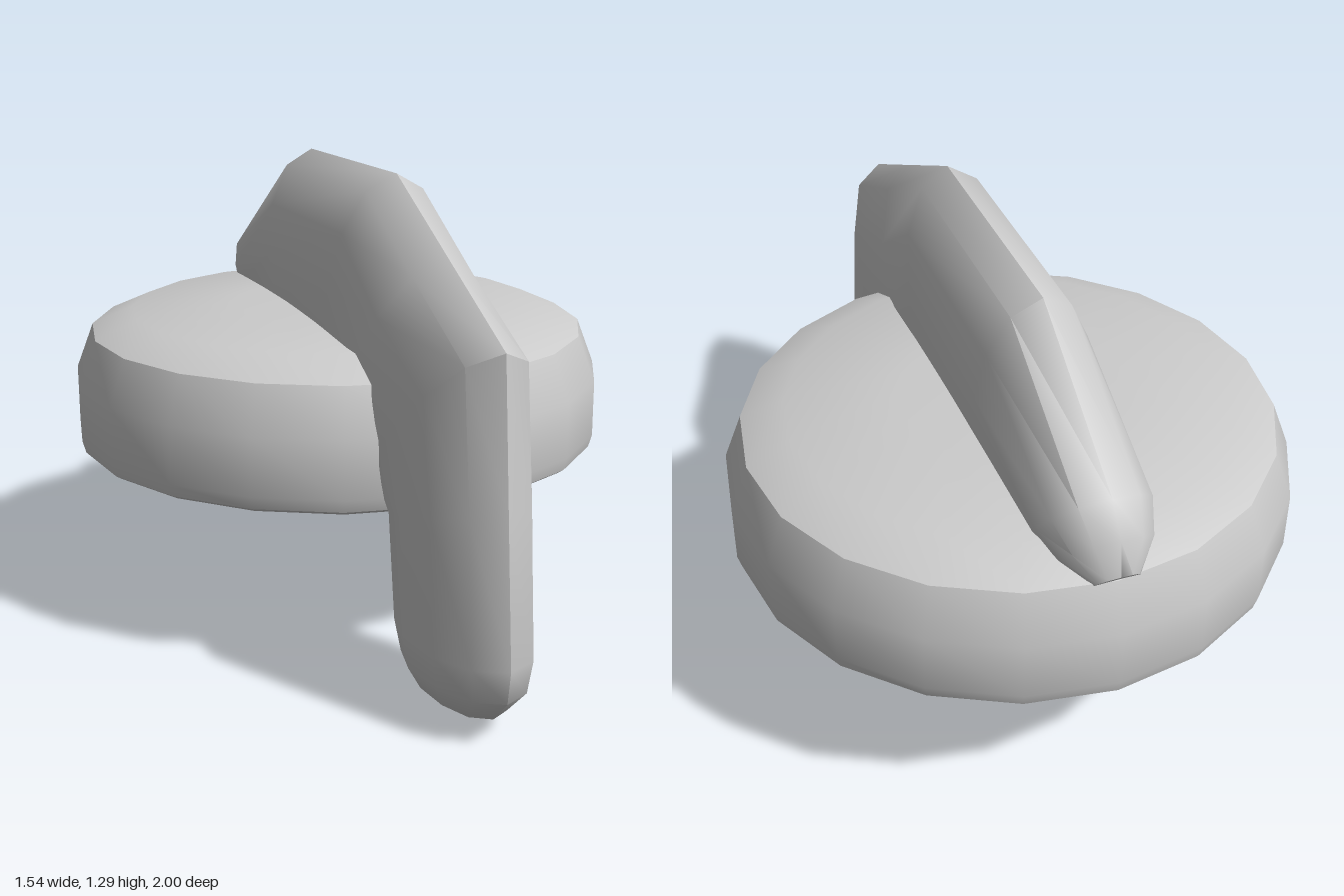
import * as THREE from 'three';
import { toCreasedNormals } from 'three/addons/utils/BufferGeometryUtils.js';

const material = new THREE.MeshStandardMaterial({ color: 0xcccccc, side: THREE.DoubleSide });

function addPart(group, name, geometry, crease) {
  const mesh = new THREE.Mesh(toCreasedNormals(geometry, crease), material);
  mesh.name = name;
  group.add(mesh);
  return mesh;
}

// Closed skin through a row of equally sized loops of points, fanned shut at both ends
function skin(loops) {
  const n = loops[0].length;
  const index = [];
  for (let s = 0; s < loops.length - 1; s++) {
    for (let i = 0; i < n; i++) {
      const j = (i + 1) % n;
      const a = s * n + i, b = s * n + j, c = a + n, d = b + n;
      index.push(a, c, b, b, c, d);
    }
  }
  const last = (loops.length - 1) * n;
  for (let i = 1; i < n - 1; i++) {
    index.push(0, i, i + 1, last, last + i + 1, last + i);
  }
  const geometry = new THREE.BufferGeometry();
  geometry.setAttribute('position', new THREE.Float32BufferAttribute(loops.flat(2), 3));
  geometry.setIndex(index);
  return geometry;
}

// Handle cross-section from the outer ridge to the underside, mirrored in x
function handleLoop([oz, oy, iz, iy, w, flat]) {
  const half = [
    [0, 0], [0.09, 0.52 * w], [0.32, 0.87 * w], [0.62, w],
    [0.87, w * (0.75 + 0.25 * flat)], [1, w * flat],
  ];
  const at = ([f, x], side) => [side * x, oy + (iy - oy) * f, oz + (iz - oz) * f];
  return [
    ...half.map((p) => at(p, 1)),
    ...half.slice(1).reverse().map((p) => at(p, -1)),
  ];
}

export function createModel() {
  const group = new THREE.Group();
  group.name = 'knob';

  // Round cap: stepped hollow underneath, rim, shoulder, slightly domed top
  const profile = [
    [0, 0.815], [0.31, 0.815], [0.37, 0.635], [0.39, 0.63], [0.54, 0.615], [0.64, 0.58],
    [0.7, 0.53], [0.735, 0.475], [0.745, 0.465], [0.76, 0.475], [0.77, 0.51], [0.77, 0.67],
    [0.72, 0.8], [0.6, 0.853], [0.3, 0.866], [0, 0.875],
  ].map(([r, y]) => new THREE.Vector2(r, y));
  const cap = addPart(group, 'cap', new THREE.LatheGeometry(profile, 20), 0.7);
  cap.position.z = -0.23;

  // Bent handle: outer z, y, inner z, y, half width, flatness of the underside
  const stations = [
    [0.79, 0.005, 0.66, 0.005, 0.03, 0.2],
    [0.91, 0.055, 0.55, 0.05, 0.1, 0.2],
    [0.985, 0.13, 0.52, 0.11, 0.138, 0.25],
    [1.0, 0.22, 0.515, 0.2, 0.155, 0.35],
    [0.965, 0.6, 0.5, 0.47, 0.155, 0.6],
    [0.93, 0.98, 0.41, 0.56, 0.155, 0.8],
    [0.6, 1.135, 0.16, 0.62, 0.155, 0.95],
    [0.25, 1.3, 0.08, 0.8, 0.155, 0.95],
    [-0.45, 1.285, -0.35, 0.8, 0.155, 0.95],
    [-0.89, 1.0, -0.73, 0.8, 0.15, 0.95],
    [-0.95, 0.92, -0.83, 0.79, 0.12, 0.9],
    [-0.962, 0.82, -0.93, 0.78, 0.06, 0.8],
  ];
  addPart(group, 'handle', skin(stations.map(handleLoop)), 0.8);

  return group;
}
